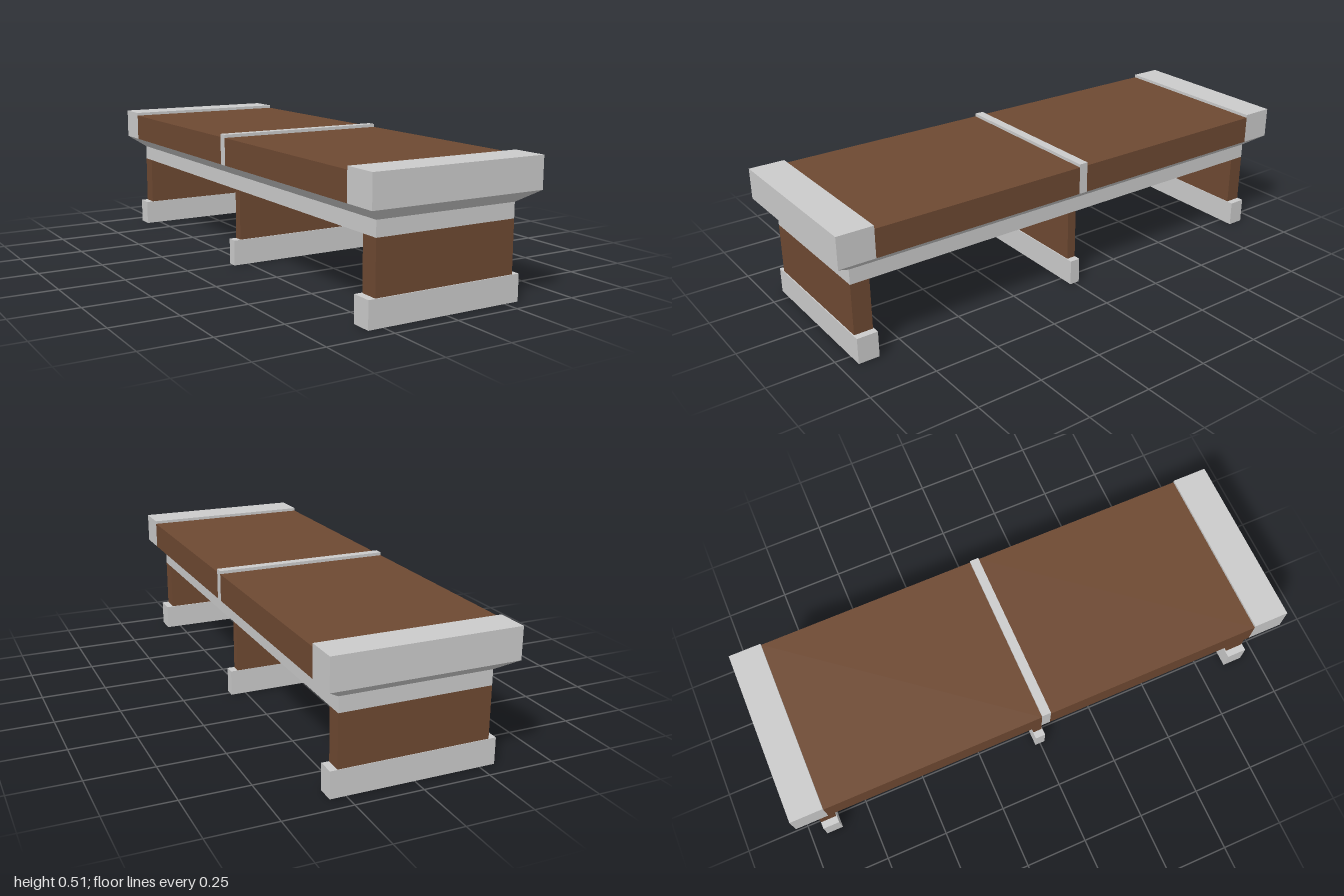
import * as THREE from 'three';

export function createModel() {
  const model = new THREE.Group();
  model.name = 'bench';
  const grey = new THREE.MeshStandardMaterial({ color: 0xcccccc, flatShading: true });
  const brown = new THREE.MeshStandardMaterial({ color: 0x6e4932, flatShading: true });

  // Box given by its extents on each axis
  function block(name, material, [x0, x1], [y0, y1], [z0, z1]) {
    const mesh = new THREE.Mesh(new THREE.BoxGeometry(x1 - x0, y1 - y0, z1 - z0), material);
    mesh.position.set((x0 + x1) / 2, (y0 + y1) / 2, (z0 + z1) / 2);
    mesh.name = name;
    model.add(mesh);
    return mesh;
  }

  const wide = [-0.342, 0.342];
  const narrow = [-0.281, 0.281];

  // Top: two boards held between end caps and a thin centre strip
  block('frontCap', grey, wide, [0.395, 0.513], [0.863, 1]);
  block('backCap', grey, wide, [0.395, 0.513], [-1, -0.875]);
  block('centreStrip', grey, wide, [0.395, 0.513], [-0.021, 0.014]);
  block('frontBoard', brown, wide, [0.395, 0.501], [0.014, 0.863]);
  block('backBoard', brown, wide, [0.395, 0.501], [-0.875, -0.021]);

  // Bevelled underside: box with its lower corners pulled in
  const bevel = block('bevel', grey, wide, [0.35, 0.395], [-1, 1]);
  const p = bevel.geometry.attributes.position;
  for (let i = 0; i < p.count; i++) {
    if (p.getY(i) < 0) {
      p.setX(i, Math.sign(p.getX(i)) * 0.281);
      p.setZ(i, Math.sign(p.getZ(i)) * 0.935);
    }
  }
  bevel.geometry.computeVertexNormals();

  // Frame under the top
  block('apron', grey, narrow, [0.293, 0.35], [-0.935, 0.935]);

  // Three panel legs, each on a wider foot
  const legs = [
    ['front', [0.863, 0.935], [0.859, 0.939]],
    ['middle', [-0.02, 0.016], [-0.021, 0.02]],
    ['back', [-0.935, -0.873], [-0.937, -0.871]],
  ];
  for (const [place, legZ, footZ] of legs) {
    block(place + 'Leg', brown, narrow, [0.098, 0.293], legZ);
    block(place + 'Foot', grey, [-0.309, 0.308], [0, 0.099], footZ);
  }
  return model;
}
